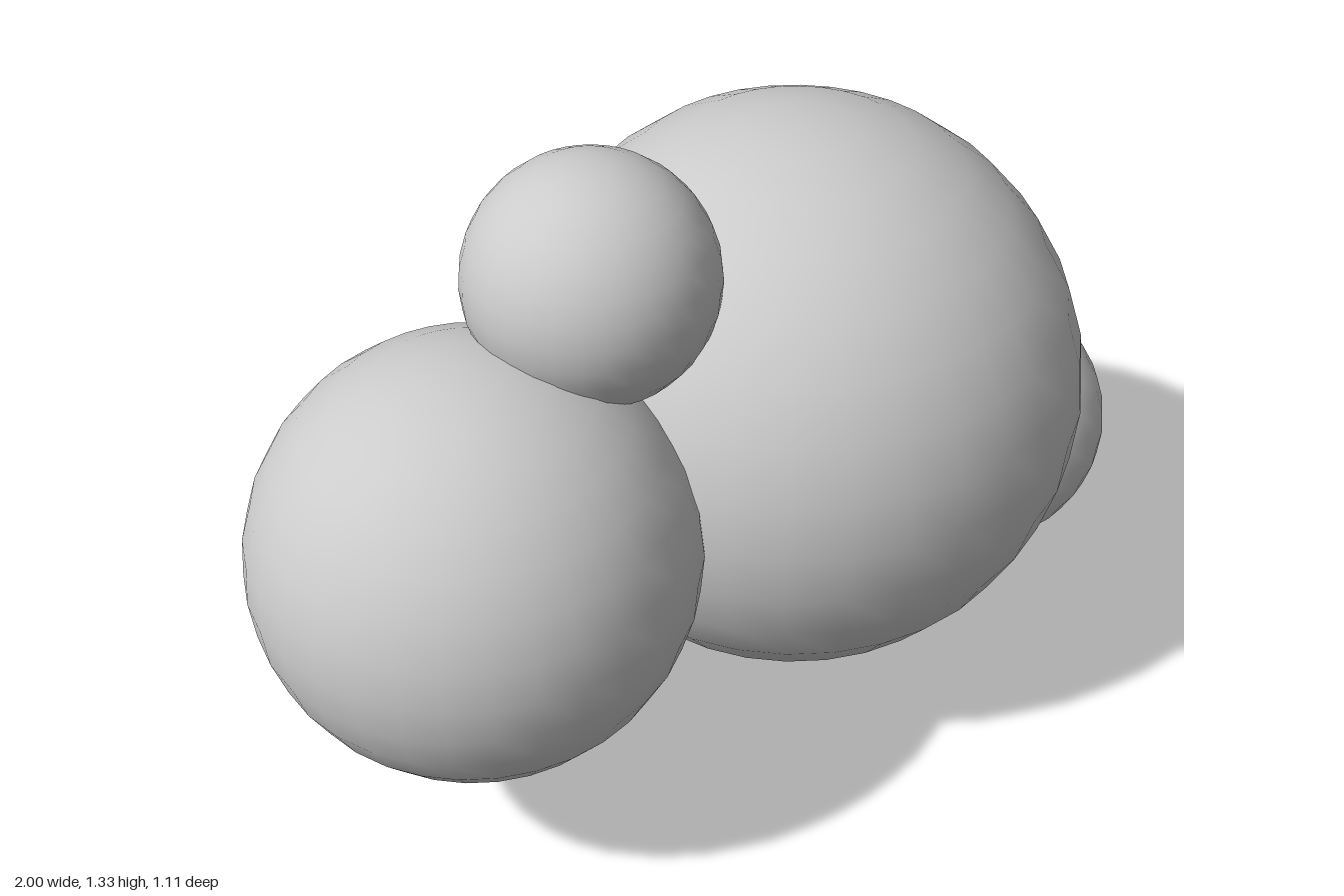
import * as THREE from 'three';

export function createModel() {
  const group = new THREE.Group();
  const material = new THREE.MeshStandardMaterial({ color: 0xcccccc });

  // Overlapping balls, all centred on the z = 0 plane: name, x, y, radius
  const balls = [
    ['mainBall', 0.17, 0.663, 0.553],
    ['rightBall', -0.6, 0.663, 0.4],
    ['topBall', -0.316, 1.107, 0.225],
    ['lowerLeftBall', 0.722, 0.278, 0.277],
  ];
  for (const [name, x, y, radius] of balls) {
    const ball = new THREE.Mesh(new THREE.SphereGeometry(radius, 32, 16), material);
    ball.name = name;
    ball.position.set(x, y, 0);
    group.add(ball);
  }
  return group;
}
